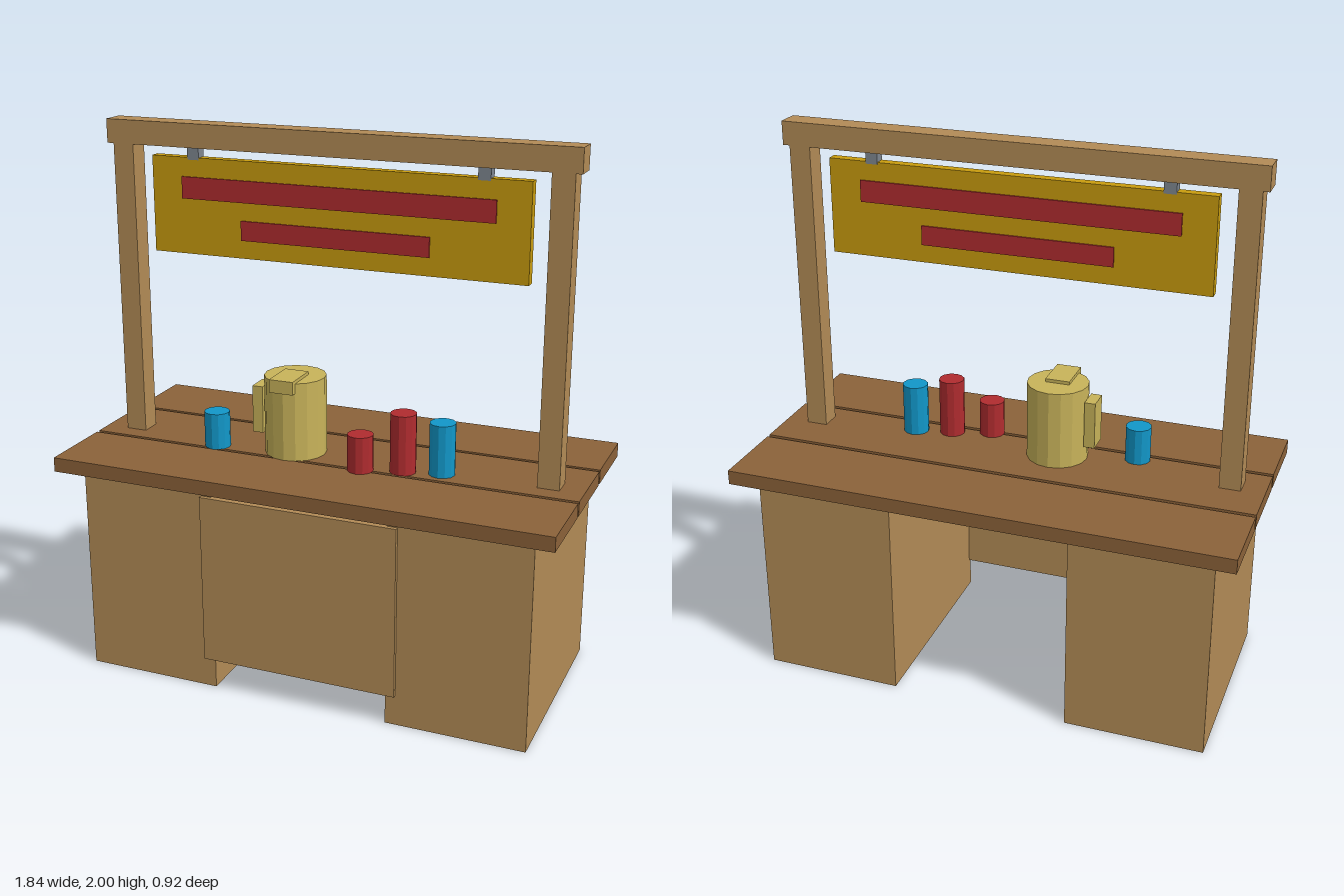
import * as THREE from 'three';

const mat = (name, color, flatShading = false) => {
  const m = new THREE.MeshStandardMaterial({ color, flatShading });
  m.name = name;
  return m;
};

export function createModel() {
  const wood = mat('light wood', 0xb28b56);
  const plankWood = mat('dark wood', 0x8b6239);
  const yellow = mat('sign yellow', 0xc99c0e);
  const red = mat('red', 0xb02c2f, true);
  const blue = mat('blue', 0x1297c9, true);
  const cream = mat('jug cream', 0xc8b35a, true);
  const grey = mat('metal grey', 0x7f8790);

  const root = new THREE.Group();
  root.name = 'drinkStand';

  const add = (name, geo, material, parent = root) => {
    const m = new THREE.Mesh(geo, material);
    m.name = name;
    parent.add(m);
    return m;
  };
  // Box given by its extents along each axis
  const box = (name, material, [x0, x1], [y0, y1], [z0, z1], parent) => {
    const m = add(name, new THREE.BoxGeometry(x1 - x0, y1 - y0, z1 - z0), material, parent);
    m.position.set((x0 + x1) / 2, (y0 + y1) / 2, (z0 + z1) / 2);
    return m;
  };
  // Upright cylinder standing on the table
  const TABLE = 0.838;
  const standing = (name, material, x, z, r, top, sides, parent) => {
    const m = add(name, new THREE.CylinderGeometry(r, r, top - TABLE, sides), material, parent);
    m.position.set(x, (top + TABLE) / 2, z);
    return m;
  };

  // Three table planks with gaps between them
  for (const z of [-0.312, 0, 0.312])
    box('tablePlank', plankWood, [-0.922, 0.922], [0.785, TABLE], [z - 0.148, z + 0.148]);

  // Hollow crates, open at top and bottom
  const rect = (Path, w, d) => {
    const p = new Path();
    p.moveTo(-w, -d);
    p.lineTo(w, -d);
    p.lineTo(w, d);
    p.lineTo(-w, d);
    p.closePath();
    return p;
  };
  const crateShape = rect(THREE.Shape, 0.255, 0.39);
  crateShape.holes.push(rect(THREE.Path, 0.207, 0.342));
  const crateGeo = new THREE.ExtrudeGeometry(crateShape, { depth: 0.785, bevelEnabled: false });
  crateGeo.rotateX(-Math.PI / 2);

  for (const s of [-1, 1]) {
    add('crate', crateGeo, wood).position.x = s * 0.585;
    // Posts run down inside the crates
    box('post', wood, [s * 0.798 - 0.039, s * 0.798 + 0.039], [0.002, 1.92], [0.002, 0.08]);
    // Sign hangers
    box('signHanger', grey, [s * 0.532 - 0.022, s * 0.532 + 0.022], [1.87, 1.92], [0.02, 0.06]);
  }

  box('frontPanel', wood, [-0.368, 0.368], [0.115, 0.75], [0.375, 0.405]);
  box('topBeam', wood, [-0.86, 0.86], [1.915, 2], [-0.002, 0.084]);

  // Hanging sign with stripes on both faces
  const sign = new THREE.Group();
  sign.name = 'sign';
  root.add(sign);
  box('signBoard', yellow, [-0.694, 0.694], [1.533, 1.878], [0.021, 0.059], sign);
  for (const [z0, z1] of [[0.059, 0.065], [0.015, 0.021]]) {
    box('longStripe', red, [-0.577, 0.577], [1.732, 1.81], [z0, z1], sign);
    box('shortStripe', red, [-0.349, 0.349], [1.598, 1.668], [z0, z1], sign);
  }

  // Jug with spout and handle
  const jug = new THREE.Group();
  jug.name = 'jug';
  root.add(jug);
  standing('jugBody', cream, -0.147, 0.06, 0.112, 1.128, 16, jug);
  box('jugSpout', cream, [-0.193, -0.103], [1.092, 1.14], [0.045, 0.185], jug);
  box('jugHandle', cream, [-0.298, -0.258], [0.905, 1.08], [0.02, 0.103], jug);

  // Cups: colour, x, z, top height
  for (const [m, x, z, top] of [
    [blue, -0.434, 0.12, 0.972],
    [red, 0.14, 0.152, 0.972],
    [red, 0.284, 0.11, 1.055],
    [blue, 0.418, 0.08, 1.028],
  ]) standing('cup', m, x, z, 0.047, top, 12);

  return root;
}
